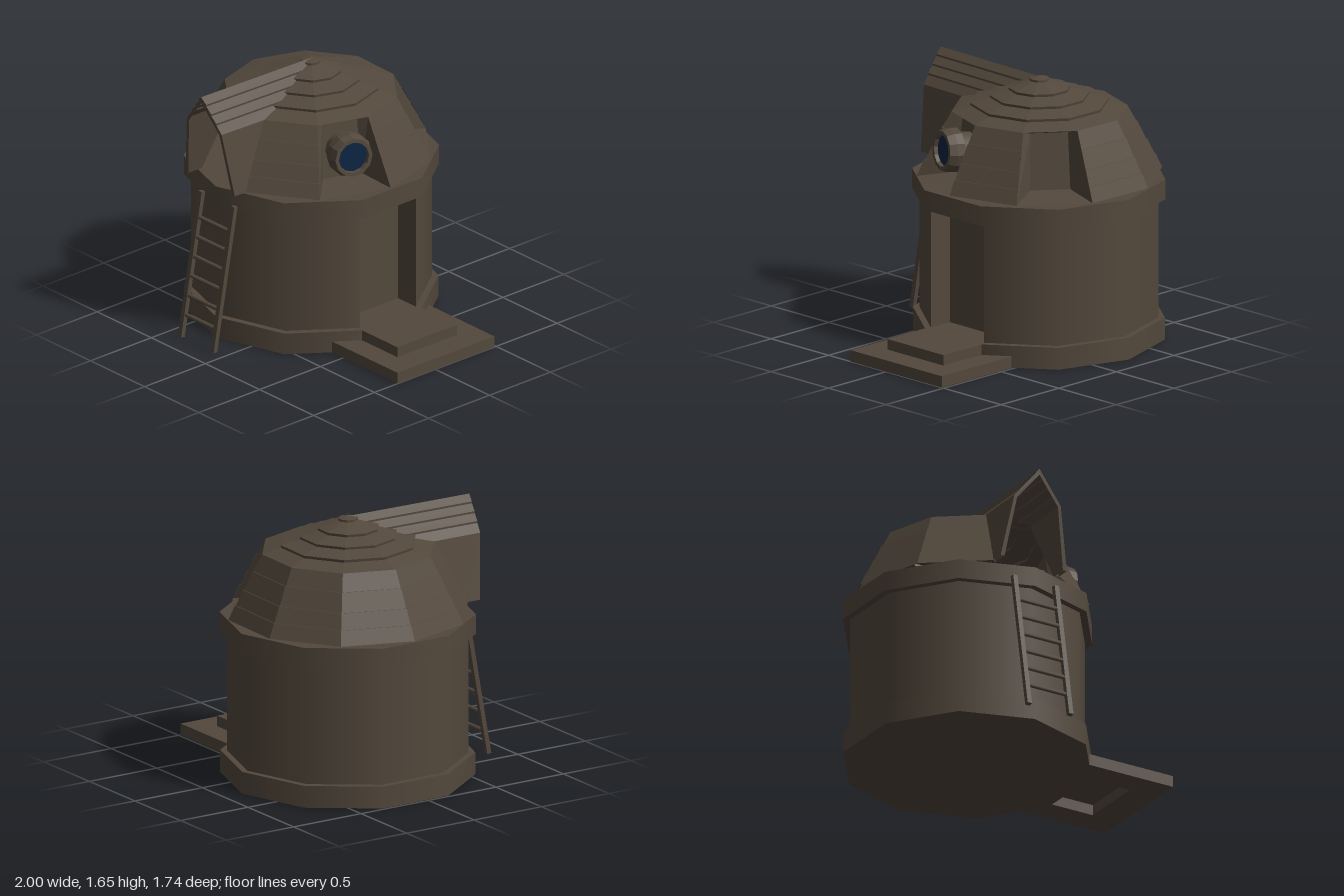
import * as THREE from 'three';

const rad = THREE.MathUtils.degToRad;
const V = (x, y, z) => new THREE.Vector3(x, y, z);

export function createModel() {
  const brown = new THREE.MeshStandardMaterial({ name: 'weatheredBrown', color: 0x53483c, side: THREE.DoubleSide });
  const blue = new THREE.MeshStandardMaterial({ name: 'lensBlue', color: 0x0b2444 });

  const model = new THREE.Group();
  model.name = 'observatory';
  const tower = new THREE.Group();
  tower.name = 'tower';
  tower.position.set(-0.24, 0, -0.085);
  model.add(tower);

  const add = (parent, name, geometry, material = brown) => {
    const mesh = new THREE.Mesh(geometry, material);
    mesh.name = name;
    parent.add(mesh);
    return mesh;
  };
  const flat = (geometry) => {
    const g = geometry.index ? geometry.toNonIndexed() : geometry;
    g.computeVertexNormals();
    return g;
  };
  // Flat four-cornered faces from corner points
  const quads = (list) => {
    const points = list.flatMap(([a, b, c, d]) => [a, b, c, a, c, d]);
    return flat(new THREE.BufferGeometry().setFromPoints(points));
  };
  const lathe = (profile, segments, start, length) =>
    flat(new THREE.LatheGeometry(profile.map(([r, y]) => new THREE.Vector2(r, y)), segments, start, length));

  // Ten-sided drum with a base and a top ring; the +x side is left open for the doorway
  const drum = (name, r, y0, y1, open = false) =>
    add(tower, name, new THREE.CylinderGeometry(r, r, y1 - y0, open ? 9 : 10, 1, open,
      open ? rad(108) : 0, rad(open ? 324 : 360))).position.y = (y0 + y1) / 2;
  drum('baseRing', 0.784, 0, 0.14);
  drum('wall', 0.743, 0.14, 0.9, true);
  drum('topRing', 0.788, 0.9, 1.026);

  // Doorway recess
  const dx = 0.743 * Math.cos(rad(18)), dz = 0.743 * Math.sin(rad(18)), back = dx - 0.165;
  const column = (x, z) => [V(x, 0.14, z), V(x, 0.9, z)];
  const strip = ([a, b], [c, d]) => [a, c, d, b];
  add(tower, 'doorway', quads([
    strip(column(dx, dz), column(back, dz)),
    strip(column(back, dz), column(back, -dz)),
    strip(column(back, -dz), column(dx, -dz)),
  ]));

  // Entrance steps: the lower one is hollow beneath the upper
  const rect = (target, x0, x1, z0, z1) =>
    target.moveTo(x0, -z0).lineTo(x1, -z0).lineTo(x1, -z1).lineTo(x0, -z1).closePath();
  const lower = rect(new THREE.Shape(), 0.395, 1, -0.485, 0.31);
  lower.holes.push(rect(new THREE.Path(), 0.45, 0.8, -0.3, 0.13));
  add(model, 'lowerStep', new THREE.ExtrudeGeometry(lower, { depth: 0.073, bevelEnabled: false }).rotateX(-Math.PI / 2));
  add(model, 'upperStep', new THREE.BoxGeometry(0.39, 0.072, 0.49)).position.set(0.635, 0.104, -0.085);

  // Dome, turned slightly against the drum
  const dome = new THREE.Group();
  dome.name = 'dome';
  dome.position.x = -0.005;
  tower.add(dome);
  const wallR = (y) => 0.76 - (y - 1.04) * (0.215 / 0.405);
  const rows = [1.04, 1.13, 1.225, 1.34, 1.445];
  const wallProfile = [];
  for (let i = 0; i < 4; i++) {
    wallProfile.push([wallR(rows[i]), rows[i]], [wallR(rows[i + 1]) + (i < 3 ? 0.006 : 0), rows[i + 1]]);
  }
  const polar = (deg, r, y) => V(r * Math.cos(rad(deg)), y, r * Math.sin(rad(deg)));
  for (let k = 0; k < 10; k++) {
    const a = 1.5 + 36 * k;
    if (k === 2) continue; // dormer opening
    if (k === 0 || k === 8) {
      // Window bay: deep reveals around a set-back panel
      const outer = [polar(a, 0.76, 1.04), polar(a + 36, 0.76, 1.04), polar(a + 36, 0.545, 1.445), polar(a, 0.545, 1.445)];
      const inner = [polar(a + 4, 0.52, 1.07), polar(a + 32, 0.52, 1.07), polar(a + 32, 0.48, 1.425), polar(a + 4, 0.48, 1.425)];
      const faces = outer.map((p, i) => [p, outer[(i + 1) % 4], inner[(i + 1) % 4], inner[i]]);
      add(dome, 'windowBay', quads([...faces, inner]));
    } else {
      add(dome, 'domePanel', lathe(wallProfile, 1, rad(52.5 - 36 * k), rad(36)));
    }
  }

  // Stepped roof tiers
  add(dome, 'roof', lathe([
    [0.545, 1.445], [0.425, 1.478], [0.428, 1.495], [0.305, 1.524], [0.308, 1.54],
    [0.19, 1.57], [0.193, 1.586], [0.062, 1.626], [0.062, 1.64], [0, 1.65],
  ], 10, rad(16.5), Math.PI * 2));

  // Gabled dormer
  const dormer = new THREE.Group();
  dormer.name = 'dormer';
  dormer.rotation.y = rad(-1.5);
  dome.add(dormer);
  const apex = V(0, 1.65, -0.02), peak = V(0, 1.65, 0.882), innerPeak = V(0, 1.61, 0.88);
  for (const s of [-1, 1]) {
    const wallFoot = V(s * 0.235, 1.04, 0.723), wallTop = V(s * 0.168, 1.445, 0.518);
    const foot = V(s * 0.235, 1.04, 0.81), eave = V(s * 0.165, 1.445, 0.857);
    const inFoot = V(s * 0.208, 1.04, 0.81), inEave = V(s * 0.145, 1.435, 0.857);
    const inWallFoot = V(s * 0.208, 1.04, 0.7), inWallTop = V(s * 0.145, 1.435, 0.518);
    add(dormer, 'dormerWall', quads([
      [wallFoot, foot, eave, wallTop],
      [inWallFoot, inFoot, inEave, inWallTop],
      [wallFoot, inWallFoot, inWallTop, wallTop],
      [foot, inFoot, inEave, eave],
      [eave, inEave, innerPeak, peak],
    ]));
    // Lapped boards from the ridge down to the eave, running back into the dome roof
    const valley = V(s * 0.168, 1.445, 0.46);
    const boards = [];
    const at = (p, q, t, lift) => p.clone().lerp(q, t).add(V(0, lift, 0));
    for (let i = 0; i < 4; i++) {
      const t0 = i / 4, t1 = (i + 1) / 4, lift = i < 3 ? 0.012 : 0;
      const f1 = at(peak, eave, t1, lift), b1 = at(apex, valley, t1, lift);
      boards.push([at(apex, valley, t0, 0), at(peak, eave, t0, 0), f1, b1]);
      if (lift) boards.push([b1, f1, at(peak, eave, t1, 0), at(apex, valley, t1, 0)]);
    }
    add(dormer, 'dormerRoof', quads(boards));
  }

  // Telescope, tilted slightly upward
  const scope = new THREE.Group();
  scope.name = 'telescope';
  scope.position.y = 1.215;
  scope.rotation.set(rad(-4), rad(71.5), 0, 'YXZ');
  dome.add(scope);
  add(scope, 'barrel', new THREE.CylinderGeometry(0.115, 0.08, 0.68, 12).rotateX(Math.PI / 2)).position.z = 0.24;
  add(scope, 'lensHood', lathe([
    [0.112, 0.57], [0.14, 0.575], [0.14, 0.625], [0.124, 0.675], [0.1, 0.675], [0.096, 0.645],
  ], 12, 0, Math.PI * 2).rotateX(Math.PI / 2));
  add(scope, 'lens', new THREE.CircleGeometry(0.098, 20), blue).position.z = 0.65;

  // Leaning ladder
  const ladder = new THREE.Group();
  ladder.name = 'ladder';
  model.add(ladder);
  const lean = Math.atan2(0.17, 0.94);
  for (const x of [-0.385, -0.085]) {
    const rail = add(ladder, 'ladderRail', new THREE.BoxGeometry(0.032, 0.95, 0.03));
    rail.position.set(x, 0.472, 0.772);
    rail.rotation.x = -lean;
  }
  for (let i = 0; i < 6; i++) {
    const y = 0.15 + 0.125 * i;
    add(ladder, 'ladderRung', new THREE.CylinderGeometry(0.014, 0.014, 0.29, 6).rotateZ(Math.PI / 2))
      .position.set(-0.235, y, 0.857 - y * 0.181);
  }
  return model;
}
